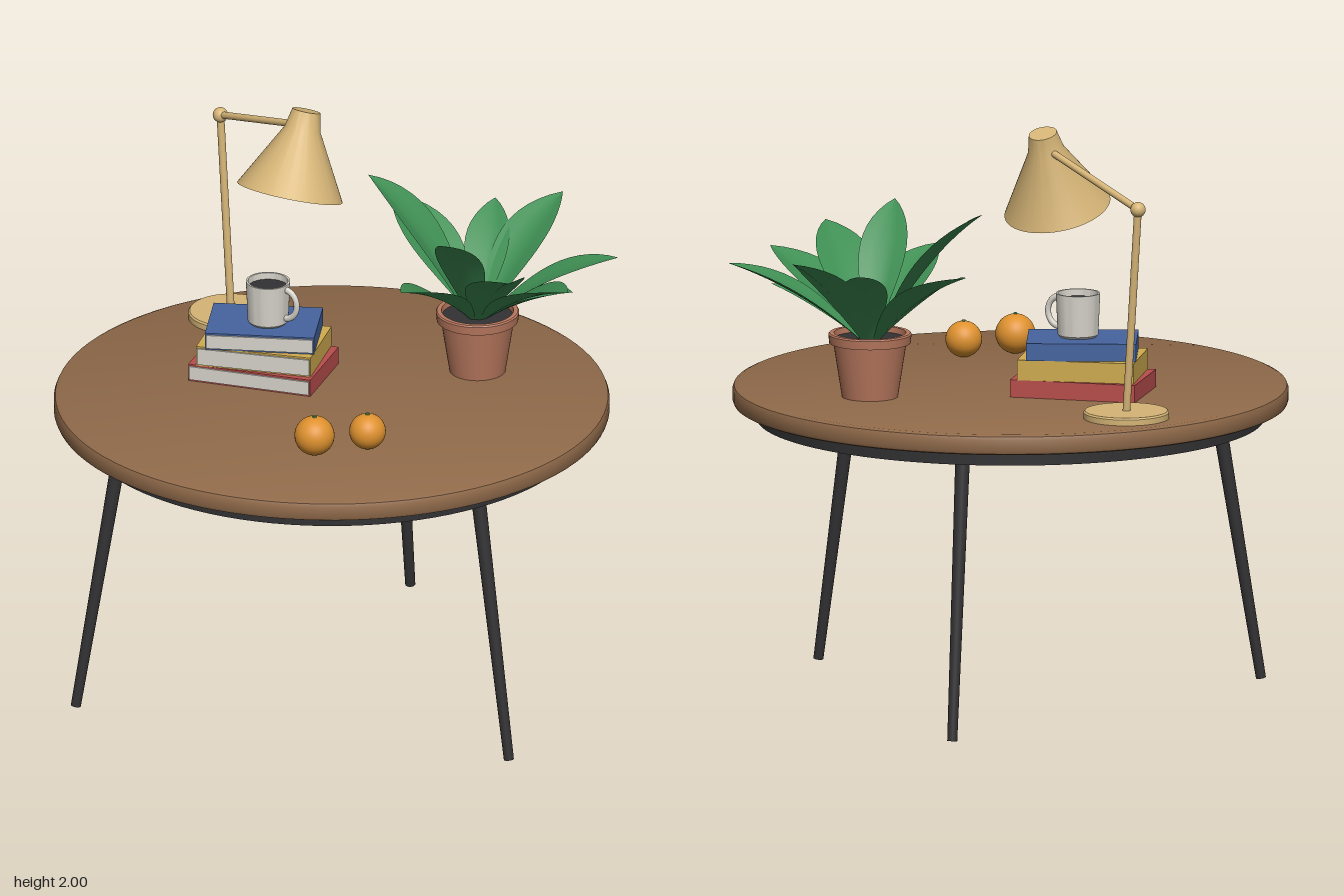
import * as THREE from 'three';
import { toCreasedNormals } from 'three/addons/utils/BufferGeometryUtils.js';

const V = (x, y, z) => new THREE.Vector3(x, y, z);
const UP = V(0, 1, 0);

function makeMaterials() {
  const colors = {
    wood: 0x906a4a, charcoal: 0x323234, brass: 0xd6b577, ivory: 0xd6d3ca, red: 0xb84e4c,
    mustard: 0xd0ac50, blue: 0x4564a0, terracotta: 0xb8785e, leafGreen: 0x3f8f54, orange: 0xdf922f,
  };
  const mats = {};
  for (const [name, hex] of Object.entries(colors)) {
    mats[name] = new THREE.MeshStandardMaterial({ color: hex });
    mats[name].name = name;
  }
  mats.leafGreen.side = THREE.DoubleSide;
  return mats;
}

function add(parent, name, geometry, material, x = 0, y = 0, z = 0) {
  const mesh = new THREE.Mesh(geometry, material);
  mesh.name = name;
  mesh.position.set(x, y, z);
  parent.add(mesh);
  return mesh;
}

function group(parent, name, x = 0, y = 0, z = 0) {
  const g = new THREE.Group();
  g.name = name;
  g.position.set(x, y, z);
  parent.add(g);
  return g;
}

// Turned part from [radius, height] pairs, listed bottom to top on the outside
function turned(points, segments = 48) {
  const g = new THREE.LatheGeometry(points.map(p => new THREE.Vector2(p[0], p[1])), segments);
  return toCreasedNormals(g, 0.6);
}

// Round rod between two points
function rod(parent, name, from, to, rFrom, rTo, material) {
  const dir = to.clone().sub(from);
  const mesh = add(parent, name, new THREE.CylinderGeometry(rTo, rFrom, dir.length(), 20), material);
  mesh.position.copy(from).addScaledVector(dir, 0.5);
  mesh.quaternion.setFromUnitVectors(UP, dir.normalize());
  return mesh;
}

// Arched leaf from root to tip, folded along the midrib
function leafGeometry(root, tip, halfWidth) {
  const rows = 14, cols = 4, pos = [], index = [];
  const mid = root.clone().lerp(tip, 0.45);
  mid.y = root.y + (tip.y - root.y) * 0.68;
  const curve = new THREE.QuadraticBezierCurve3(root, mid, tip);
  const side = tip.clone().sub(root).setY(0).normalize().cross(UP);
  for (let i = 0; i <= rows; i++) {
    const t = i / rows;
    const w = halfWidth * (0.18 * (1 - t) + Math.pow(Math.sin(Math.PI * Math.pow(t, 1.2)), 0.9));
    const p = curve.getPoint(t);
    const normal = side.clone().cross(curve.getTangent(t));
    for (let j = 0; j <= cols; j++) {
      const s = (j / cols) * 2 - 1;
      const q = p.clone().addScaledVector(side, s * w).addScaledVector(normal, Math.abs(s) * w * 0.3);
      pos.push(q.x, q.y, q.z);
      if (i < rows && j < cols) {
        const a = i * (cols + 1) + j, b = a + cols + 1;
        index.push(a, a + 1, b, a + 1, b + 1, b);
      }
    }
  }
  const g = new THREE.BufferGeometry();
  g.setAttribute('position', new THREE.Float32BufferAttribute(pos, 3));
  g.setIndex(index);
  g.computeVertexNormals();
  return g;
}

function addTable(model, m) {
  const table = group(model, 'table');
  add(table, 'tableTop', turned([[0, 1], [0.925, 1], [0.936, 1.005], [0.94, 1.015], [0.94, 1.052],
    [0.935, 1.064], [0.922, 1.07], [0, 1.07]], 96), m.wood);
  add(table, 'underDisc', new THREE.CylinderGeometry(0.86, 0.86, 0.05, 96), m.charcoal, 0, 0.976, 0);
  // Three splayed legs
  for (let i = 0; i < 3; i++) {
    const a = -Math.PI / 2 + (i * 2 * Math.PI) / 3;
    const c = Math.cos(a), s = Math.sin(a);
    rod(table, 'leg', V(0.89 * c * 0.98 + 0.014 * c, 0.003, 0.89 * s * 0.98 + 0.014 * s),
      V(0.725 * c, 0.97, 0.725 * s), 0.017, 0.025, m.charcoal);
  }
}

function addLamp(model, m) {
  const lamp = group(model, 'lamp');
  add(lamp, 'lampBase', turned([[0, 0], [0.145, 0], [0.145, 0.02], [0.14, 0.026], [0, 0.026]]), m.brass, -0.52, 1.07, -0.52);
  const elbow = V(-0.568, 1.795, -0.552);
  rod(lamp, 'lampPole', V(-0.52, 1.08, -0.52), elbow, 0.013, 0.013, m.brass);
  add(lamp, 'lampElbow', new THREE.SphereGeometry(0.026, 24, 16), m.brass).position.copy(elbow);
  rod(lamp, 'lampArm', elbow, V(-0.18, 1.932, -0.25), 0.012, 0.012, m.brass);
  // Tilted shade, pale on the inside
  const shade = group(lamp, 'lampShade', -0.17, 1.984, -0.255);
  shade.quaternion.setFromUnitVectors(UP, V(0.03, 0.262, -0.085).normalize());
  add(shade, 'shadeOuter', turned([[0.176, -0.285], [0.182, -0.285], [0.062, -0.065], [0.048, 0], [0, 0]], 64), m.brass);
  add(shade, 'shadeInner', turned([[0, -0.066], [0.056, -0.066], [0.177, -0.285]], 64), m.ivory);
}

function addBooks(model, m) {
  const books = group(model, 'books');
  const list = [
    ['redBook', m.red, 0.435, 0.3, 1.07, 0.06, -0.02, -0.275, -0.105],
    ['mustardBook', m.mustard, 0.4, 0.28, 1.13, 0.07, 0.05, -0.274, -0.106],
    ['blueBook', m.blue, 0.372, 0.262, 1.2, 0.06, 0.19, -0.273, -0.104],
  ];
  for (const [name, mat, w, d, y, h, turn, x, z] of list) {
    const book = group(books, name, x, y + h / 2, z);
    book.rotation.y = turn;
    add(book, 'cover', new THREE.BoxGeometry(w, h, d), mat);
    add(book, 'pages', new THREE.BoxGeometry(w - 0.008, h - 0.012, 0.008), m.ivory, 0, 0, d / 2 + 0.002);
  }
}

function addMug(model, m) {
  const mug = group(model, 'mug', -0.257, 1.26, -0.1);
  mug.rotation.y = -0.25;
  add(mug, 'mugBody', turned([[0, 0], [0.062, 0], [0.069, 0.008], [0.075, 0.15], [0.068, 0.15], [0.066, 0.1]]), m.ivory);
  add(mug, 'coffee', new THREE.CylinderGeometry(0.067, 0.067, 0.004, 40), m.charcoal, 0, 0.125, 0);
  const handle = add(mug, 'mugHandle', new THREE.TorusGeometry(0.045, 0.01, 12, 24, Math.PI), m.ivory, 0.069, 0.08, 0);
  handle.rotation.z = -Math.PI / 2;
  handle.scale.x = 1.15;
}

function addPlant(model, m) {
  const cx = 0.41, cz = -0.34;
  const plant = group(model, 'pottedPlant');
  add(plant, 'pot', turned([[0, 0], [0.095, 0], [0.124, 0.185], [0.138, 0.185], [0.141, 0.215], [0.137, 0.22],
    [0.122, 0.22], [0.118, 0.18]]), m.terracotta, cx, 1.07, cz);
  add(plant, 'soil', new THREE.CylinderGeometry(0.121, 0.121, 0.006, 40), m.charcoal, cx, 1.267, cz);
  // Leaf tips: x, y, z, half width
  const tips = [
    [0.01, 1.55, -0.64, 0.09], [0.36, 1.55, -0.7, 0.07], [0.59, 1.59, -0.73, 0.085],
    [0.89, 1.52, -0.4, 0.08], [0.82, 1.52, -0.06, 0.09], [0.66, 1.59, 0.08, 0.09],
    [0.41, 1.68, 0.04, 0.075], [0.28, 1.52, 0.11, 0.085], [0.01, 1.72, -0.38, 0.085],
    [0.77, 1.43, -0.27, 0.07],
  ];
  for (const [x, y, z, w] of tips) {
    const dir = V(x - cx, 0, z - cz).normalize();
    const root = V(cx, 1.265, cz).addScaledVector(dir, 0.035);
    add(plant, 'leaf', leafGeometry(root, V(x, y, z), w), m.leafGreen);
  }
}

function addOranges(model, m) {
  for (const [x, z, r] of [[0.1, 0.512, 0.068], [0.256, 0.41, 0.062]]) {
    const fruit = group(model, 'orange', x, 1.07 + r, z);
    add(fruit, 'orangeBody', new THREE.SphereGeometry(r, 32, 24), m.orange);
    add(fruit, 'orangeStem', new THREE.CylinderGeometry(0.006, 0.008, 0.008, 10), m.leafGreen, 0, r, 0);
  }
}

export function createModel() {
  const model = new THREE.Group();
  model.name = 'tableWithStillLife';
  const m = makeMaterials();
  for (const build of [addTable, addLamp, addBooks, addMug, addPlant, addOranges]) build(model, m);
  return model;
}
